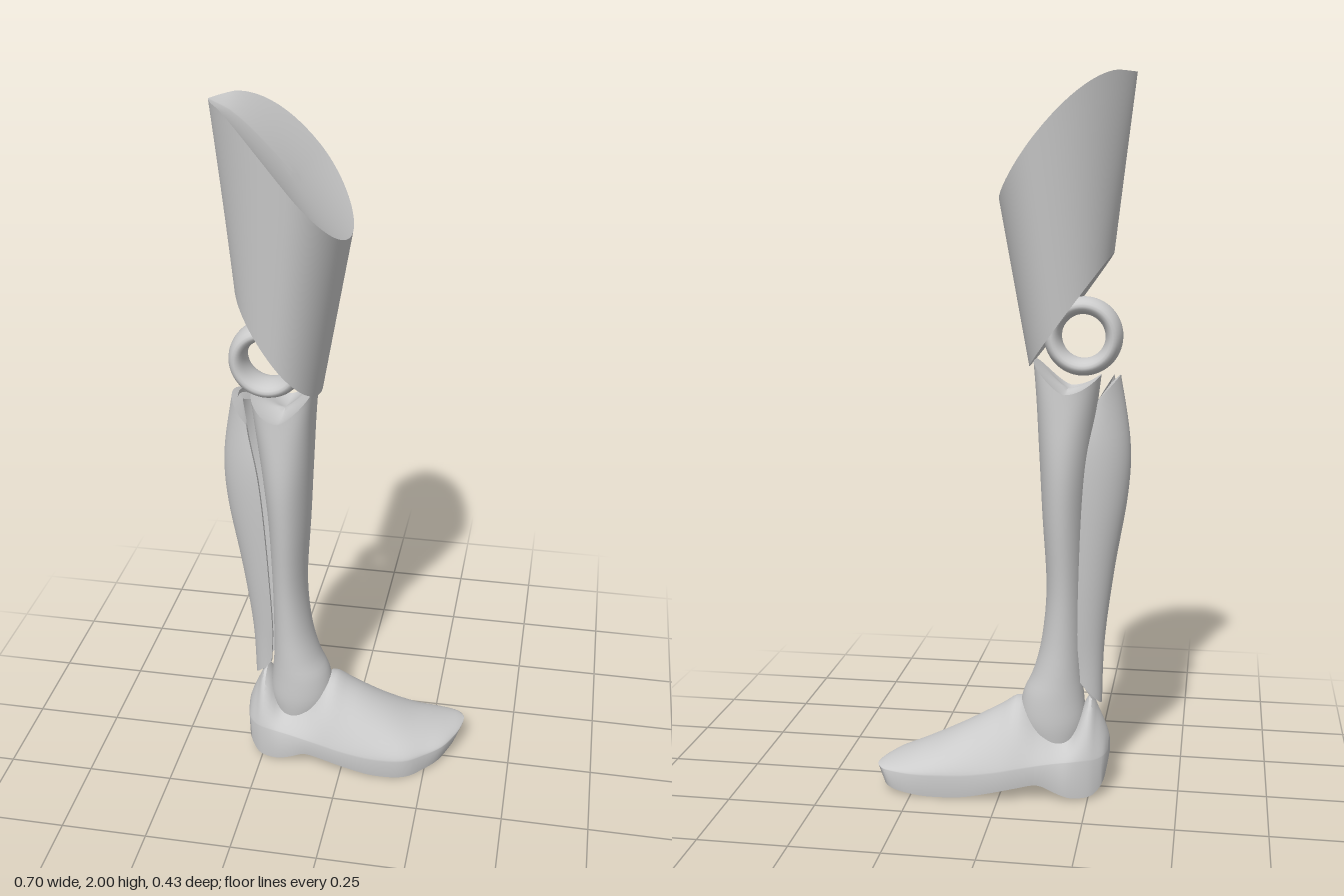
import * as THREE from 'three';
import { toCreasedNormals } from 'three/addons/utils/BufferGeometryUtils.js';

const V = (x, y, z) => new THREE.Vector3(x, y, z);
const { smoothstep, lerp } = THREE.MathUtils;

// Smoothly resample a short table of cross-section measurements.
function resample(rows, count) {
  const curves = rows[0].map((_, c) => new THREE.SplineCurve(rows.map((r, i) => new THREE.Vector2(i, r[c]))));
  return Array.from({ length: count + 1 }, (_, i) => curves.map(c => c.getPoint(i / count).y));
}

// Rings shrinking to the middle of a loop; dish pushes the middle in or out.
function capRings(ring, dish) {
  const mid = ring.reduce((s, p) => s.add(p), V(0, 0, 0)).divideScalar(ring.length);
  return [0.95, 0.8, 0.6, 0.4, 0.2, 0.001].map(s =>
    ring.map(p => mid.clone().lerp(p, s).addScaledVector(dish, 1 - s * s)));
}

// Closed skin through a list of equal-length loops, with dished ends.
function loft(name, rings, startDish = V(0, 0, 0), endDish = V(0, 0, 0)) {
  const all = [
    ...capRings(rings[0], startDish).reverse(),
    ...rings,
    ...capRings(rings[rings.length - 1], endDish),
  ];
  const n = rings[0].length;
  const tris = [];
  let volume = 0;
  const add = (a, b, c) => {
    tris.push([a, b, c]);
    volume += a.dot(b.clone().cross(c));
  };
  for (let i = 0; i < all.length - 1; i++) {
    for (let j = 0; j < n; j++) {
      const k = (j + 1) % n;
      add(all[i][j], all[i][k], all[i + 1][k]);
      add(all[i][j], all[i + 1][k], all[i + 1][j]);
    }
  }
  // Turn every triangle outward.
  const points = tris.flatMap(([a, b, c]) => (volume > 0 ? [a, b, c] : [a, c, b]));
  const flat = new THREE.BufferGeometry().setFromPoints(points);
  flat.scale(100, 100, 100); // creasing merges points on a coarse grid
  const geometry = toCreasedNormals(flat, 0.7);
  geometry.scale(0.01, 0.01, 0.01);
  return part(name, geometry);
}

function part(name, geometry) {
  const mesh = new THREE.Mesh(geometry, new THREE.MeshStandardMaterial({ color: 0xcccccc }));
  mesh.name = name;
  return mesh;
}

const circle = (n, f) => Array.from({ length: n }, (_, i) => f((i / n) * Math.PI * 2));
const signedPow = (s, p) => Math.sign(s) * Math.pow(Math.abs(s), p);

// Thigh socket: egg-shaped sleeve between two slanted rims, with a hollowed top.
function thighSocket() {
  const rimY = x => 2 - 0.33 * Math.pow(Math.max(0, (x + 0.31) / 0.32), 1.5);
  const top = circle(72, a => {
    const c = Math.cos(a), s = Math.sin(a);
    const x = -0.11 + (c > 0 ? 0.122 : 0.242) * c;
    return V(x, rimY(x), 0.215 * signedPow(s, c > 0 ? 1 : 1.65));
  });
  const bottom = circle(72, a => {
    const c = Math.cos(a);
    const x = -0.17 + (c > 0 ? 0.1 : 0.127) * c;
    return V(x, 1.53 - (0.31 * (x + 0.297)) / 0.227, 0.16 * Math.sin(a));
  });
  const wall = Array.from({ length: 9 }, (_, i) => bottom.map((p, j) => p.clone().lerp(top[j], i / 8)));
  const hollow = [0.97, 0.92, 0.84, 0.74, 0.62, 0.5, 0.38, 0.26, 0.14].map(s => top.map(p => {
    const x = lerp(-0.14, p.x, s);
    return V(x, rimY(x) - 0.05 * (1 - s * s), p.z * s);
  }));
  return loft('thighSocket', [...wall, ...hollow], V(0.02, 0.04, 0));
}

// Knee joint: a ring widened along its axle.
function kneeRing() {
  const ring = part('kneeRing', new THREE.TorusGeometry(0.084, 0.024, 20, 56).scale(1, 1, 2.2));
  ring.position.set(-0.217, 1.304, 0);
  return ring;
}

// Shin: oval tube with a saddle-shaped top. Rows: y, back x, front x, half width
function shin() {
  const rows = [
    [0.13, -0.22, -0.075, 0.075], [0.2, -0.235, -0.045, 0.085], [0.28, -0.228, -0.054, 0.084],
    [0.35, -0.222, -0.084, 0.079], [0.45, -0.22, -0.108, 0.075], [0.6, -0.22, -0.12, 0.081],
    [0.8, -0.225, -0.108, 0.104], [0.95, -0.237, -0.1, 0.114], [1.1, -0.255, -0.092, 0.108],
    [1.2, -0.267, -0.083, 0.102],
  ];
  const rings = resample(rows, 36).map(([y, back, front, w]) => {
    const saddle = smoothstep(y, 1.0, 1.2);
    const boxy = lerp(1, 0.6, smoothstep(y, 0.9, 1.2));
    return circle(56, a => {
      const c = Math.cos(a);
      const dip = c > 0 ? -0.045 + 0.082 * Math.pow(c, 1.4) : -0.045 + 0.045 * c * c;
      const z = w * signedPow(Math.sin(a), c > 0 ? boxy : 1);
      return V((back + front) / 2 + ((front - back) / 2) * c, y + dip * saddle, z);
    });
  });
  return loft('shin', rings, V(0, 0, 0), V(0, -0.03, 0));
}

// Calf panel: thin curved shell. Rows: y, back x, side edge x, half width
function calfPanel() {
  const rows = [
    [0.26, -0.28, -0.222, 0.05], [0.44, -0.285, -0.214, 0.062], [0.65, -0.31, -0.217, 0.08],
    [0.87, -0.345, -0.226, 0.094], [1.02, -0.349, -0.24, 0.095], [1.2, -0.32, -0.265, 0.083],
  ];
  const rings = resample(rows, 30).map(([y, back, edge, w]) => {
    const lift = 0.07 * (1 - smoothstep(y, 0.26, 0.5)) - 0.06 * smoothstep(y, 0.95, 1.2);
    const arc = inset => Array.from({ length: 21 }, (_, i) => {
      const a = (i / 20 - 0.5) * Math.PI;
      const c = Math.cos(a);
      return V(edge + (back + inset - edge) * c, y + lift * (1 - c), (w - inset * 0.6) * Math.sin(a));
    });
    return [...arc(0), ...arc(0.018).reverse()];
  });
  return loft('calfPanel', rings);
}

// Foot: domed upper over a flat sole.
// Rows: x, sole bottom, sole edge, top, right side z, left side z
function foot() {
  const rows = [
    [-0.302, 0.1, 0.13, 0.16, -0.03, 0.03], [-0.292, 0.05, 0.125, 0.19, -0.065, 0.065],
    [-0.27, 0.02, 0.12, 0.24, -0.09, 0.09], [-0.245, 0.01, 0.12, 0.28, -0.105, 0.105],
    [-0.2, 0.01, 0.118, 0.19, -0.118, 0.115], [-0.16, 0.025, 0.115, 0.18, -0.125, 0.122],
    [-0.11, 0.05, 0.11, 0.21, -0.138, 0.132], [-0.05, 0.042, 0.1, 0.267, -0.15, 0.14],
    [0.01, 0.028, 0.088, 0.236, -0.155, 0.145], [0.1, 0.008, 0.073, 0.183, -0.155, 0.144],
    [0.19, 0.003, 0.068, 0.135, -0.154, 0.13], [0.25, 0.008, 0.069, 0.112, -0.154, 0.09],
    [0.3, 0.014, 0.072, 0.096, -0.147, 0.045], [0.33, 0.02, 0.074, 0.087, -0.136, -0.01],
    [0.345, 0.024, 0.076, 0.081, -0.12, -0.05], [0.352, 0.03, 0.077, 0.078, -0.105, -0.085],
  ];
  const rings = resample(rows, 60).map(([x, bottom, edge, top, z0, z1]) => {
    const mid = (z0 + z1) / 2, half = (z1 - z0) / 2;
    const peak = lerp(1.8, 1.3, smoothstep(x, -0.05, 0.2));
    const upper = Array.from({ length: 25 }, (_, i) => {
      const a = (i / 24) * Math.PI;
      return V(x, edge + (top - edge) * Math.pow(Math.sin(a), peak), mid + half * Math.cos(a));
    });
    const soleX = x - 0.018 * smoothstep(x, 0.2, 0.35);
    const sole = Array.from({ length: 9 }, (_, i) => V(soleX, bottom, mid + half * 0.94 * (i / 4 - 1)));
    return [...upper, ...sole];
  });
  return loft('foot', rings);
}

export function createModel() {
  const group = new THREE.Group();
  group.name = 'artificialLeg';
  group.add(thighSocket(), kneeRing(), shin(), calfPanel(), foot());
  return group;
}
